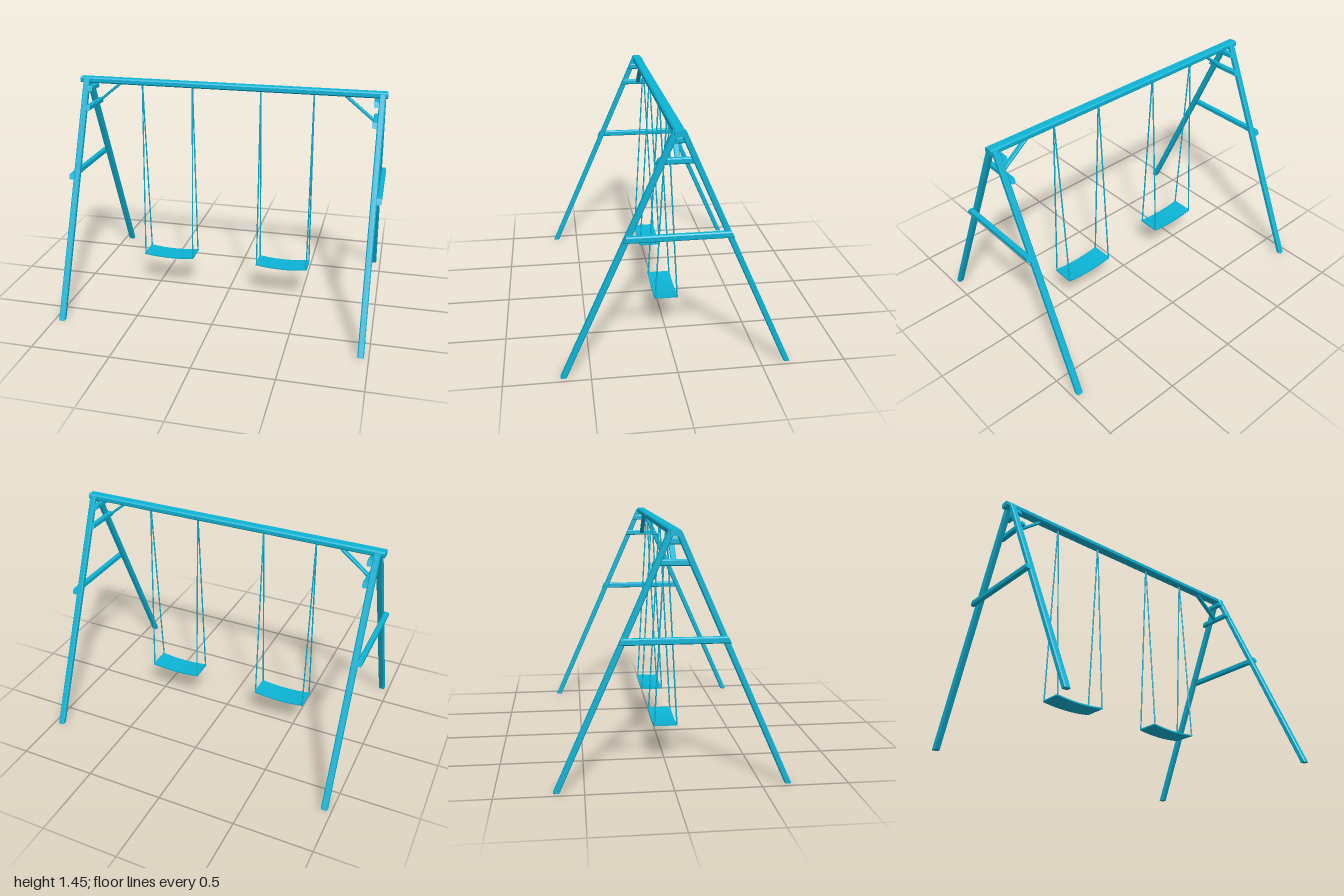
import * as THREE from 'three';

const paint = new THREE.MeshStandardMaterial({ color: 0x0cb4d6 });
const SLOPE = 0.444; // how far a leg leans in z per unit of height

// Timber with chamfered edges running along z, centred on the origin
function timber(w, h, length, c = 0.006) {
  const x = w / 2, y = h / 2;
  const s = new THREE.Shape([
    [-x + c, -y], [x - c, -y], [x, -y + c], [x, y - c],
    [x - c, y], [-x + c, y], [-x, y - c], [-x, -y + c],
  ].map(p => new THREE.Vector2(...p)));
  const g = new THREE.ExtrudeGeometry(s, { depth: length, bevelEnabled: false });
  return g.translate(0, 0, -length / 2);
}

// Move every vertex by a rule, then refresh the normals
function reshape(g, rule) {
  const p = g.attributes.position, v = new THREE.Vector3();
  for (let i = 0; i < p.count; i++) {
    rule(v.fromBufferAttribute(p, i));
    p.setXYZ(i, v.x, v.y, v.z);
  }
  g.computeVertexNormals();
  return g;
}

function add(parent, name, geometry, x = 0, y = 0, z = 0) {
  const m = new THREE.Mesh(geometry, paint);
  m.name = name;
  m.position.set(x, y, z);
  parent.add(m);
  return m;
}

// Leg with level foot and top, leaning towards the ridge
function legGeometry(side) {
  const height = 1.44;
  const g = timber(0.039, 0.036, height).rotateX(-Math.PI / 2).translate(0, height / 2, 0);
  return reshape(g, v => { v.z += side * (0.657 - SLOPE * v.y); });
}

// Horizontal tie whose ends are cut to the slope of the legs
function tieGeometry(w, h, halfLength) {
  return reshape(timber(w, h, 2 * halfLength), v => { v.z -= Math.sign(v.z) * SLOPE * v.y; });
}

// Thin round rod between two points
function rod(parent, name, a, b, radius) {
  const d = b.clone().sub(a);
  const m = add(parent, name, new THREE.CylinderGeometry(radius, radius, d.length(), 8));
  m.position.copy(a).add(b).multiplyScalar(0.5);
  m.quaternion.setFromUnitVectors(new THREE.Vector3(0, 1, 0), d.normalize());
}

function endFrame(side) {
  const frame = new THREE.Group();
  frame.name = side > 0 ? 'leftEndFrame' : 'rightEndFrame';
  const legX = side * 0.9525;
  add(frame, 'frontLeg', legGeometry(1), legX);
  add(frame, 'backLeg', legGeometry(-1), legX);
  add(frame, 'crossbar', tieGeometry(0.031, 0.037, 0.298), side * 0.984, 0.853);
  add(frame, 'collarTie', tieGeometry(0.03, 0.035, 0.114), side * 0.92, 1.267);
  add(frame, 'ridgeTie', tieGeometry(0.03, 0.035, 0.06), side * 0.92, 1.382);

  // Diagonal brace from collar tie up to the beam
  const dx = 0.185, dy = 0.15;
  const brace = timber(0.03, 0.016, Math.hypot(dx, dy), 0.003).rotateY(Math.PI / 2);
  const m = add(frame, 'diagonalBrace', brace, side * 0.822, 1.34);
  m.rotation.z = -side * Math.atan2(dy, dx);
  return frame;
}

function swing(x) {
  const g = new THREE.Group();
  g.name = 'swing';
  const half = 0.168, depth = 0.072;

  // Flexible seat sagging in the middle
  const seat = new THREE.BoxGeometry(2 * half + 0.01, 0.009, 2 * depth, 16, 1, 1);
  reshape(seat, v => { v.y += 0.013 * (v.x / half) ** 2; });
  add(g, 'seat', seat, 0, 0.226, 0);

  // Two ropes on each side, meeting at the beam
  for (const sx of [-1, 1]) for (const sz of [-1, 1]) {
    rod(g, 'rope', new THREE.Vector3(sx * half, 0.235, sz * 0.069),
      new THREE.Vector3(sx * half, 1.425, sz * 0.002), 0.0045);
  }
  g.position.x = x;
  return g;
}

export function createModel() {
  const model = new THREE.Group();
  model.name = 'swingSet';
  add(model, 'topBeam', timber(0.06, 0.037, 1.98, 0.008).rotateY(Math.PI / 2), -0.006, 1.431, 0);
  model.add(endFrame(1), endFrame(-1));
  model.add(swing(-0.412), swing(0.369));
  return model;
}
